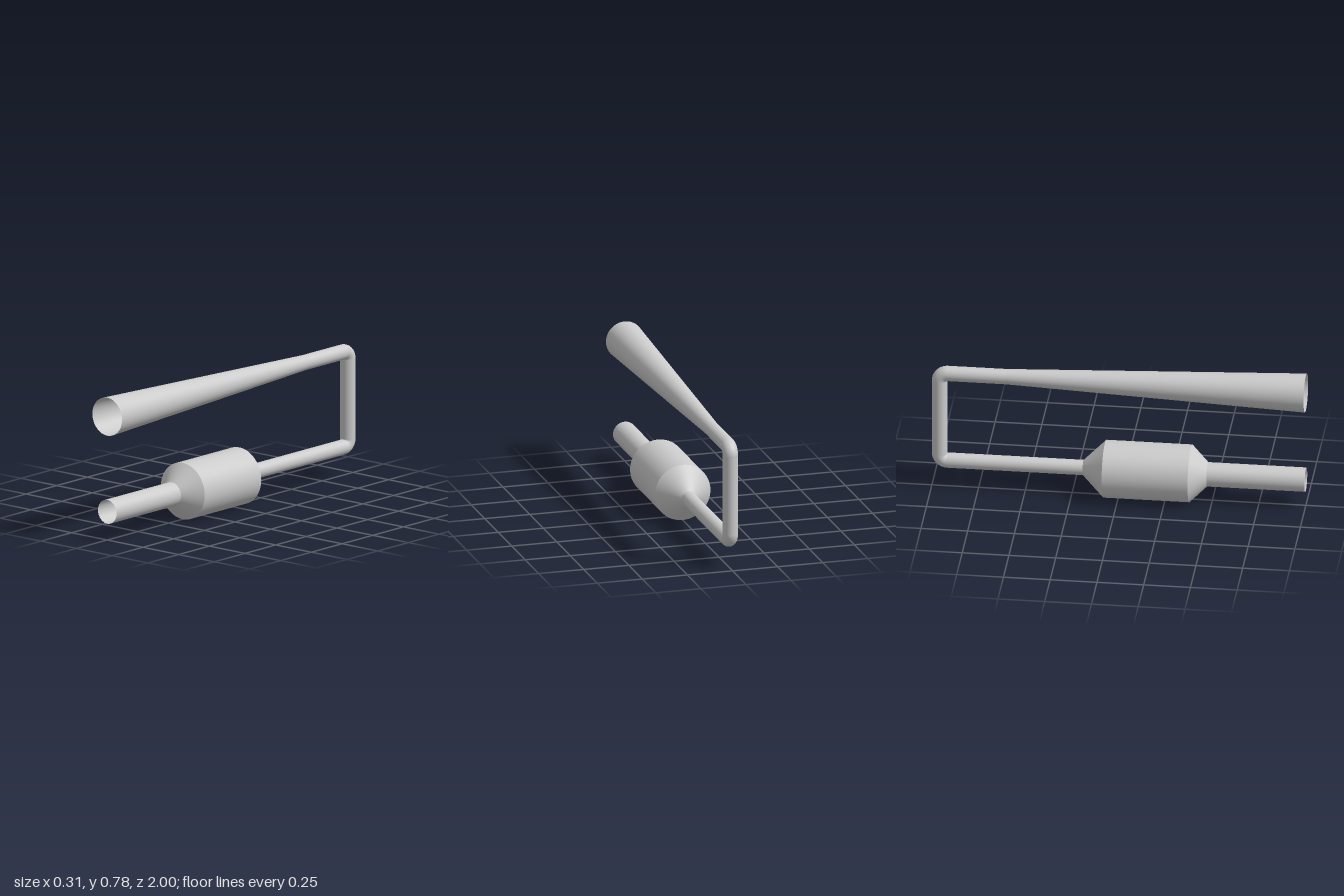
import * as THREE from 'three';

const SIDES = 64;
const R = 0.041;        // thin pipe radius
const BEND = 0.043;     // bend centreline radius
const LOW = 0.155, HIGH = 0.675; // heights of the two runs
const BACK = -1 + R;    // centreline of the upright pipe

export function createModel() {
  const group = new THREE.Group();
  const material = new THREE.MeshStandardMaterial({ color: 0xcccccc, side: THREE.DoubleSide });

  function add(name, geometry, y, z) {
    const mesh = new THREE.Mesh(geometry, material);
    mesh.name = name;
    mesh.position.set(0, y, z);
    group.add(mesh);
  }

  // Open hollow section along z, from zFront to zBack
  function section(name, y, zFront, rFront, zBack, rBack) {
    const g = new THREE.CylinderGeometry(rFront, rBack, zFront - zBack, SIDES, 1, true);
    g.rotateX(Math.PI / 2);
    add(name, g, y, (zFront + zBack) / 2);
  }

  // Quarter elbow at the back, opening up or down
  function elbow(name, y, zTurn) {
    const g = new THREE.TorusGeometry(BEND, R, 40, 20, Math.PI / 2);
    g.rotateZ(zTurn);
    g.rotateY(Math.PI / 2);
    add(name, g, y, BACK + BEND);
  }

  // Lower run: inlet, chamber with tapered ends, thin pipe
  section('inletPipe', LOW, 1, 0.065, 0.475, 0.065);
  section('chamberFrontCone', LOW, 0.475, 0.065, 0.385, 0.154);
  section('chamberBody', LOW, 0.385, 0.154, -0.075, 0.154);
  section('chamberBackCone', LOW, -0.075, 0.154, -0.19, R);
  section('lowerPipe', LOW, -0.19, R, BACK + BEND, R);

  // Back: two elbows joined by the upright pipe
  elbow('lowerElbow', LOW + BEND, -Math.PI / 2);
  elbow('upperElbow', HIGH - BEND, 0);
  const upright = new THREE.CylinderGeometry(R, R, HIGH - LOW - 2 * BEND, SIDES, 1, true);
  add('uprightPipe', upright, (LOW + HIGH) / 2, BACK);

  // Upper run: thin pipe widening into the long horn
  section('upperPipe', HIGH, -0.6, R, BACK + BEND, R);
  section('horn', HIGH, 1, 0.104, -0.6, R);

  return group;
}
